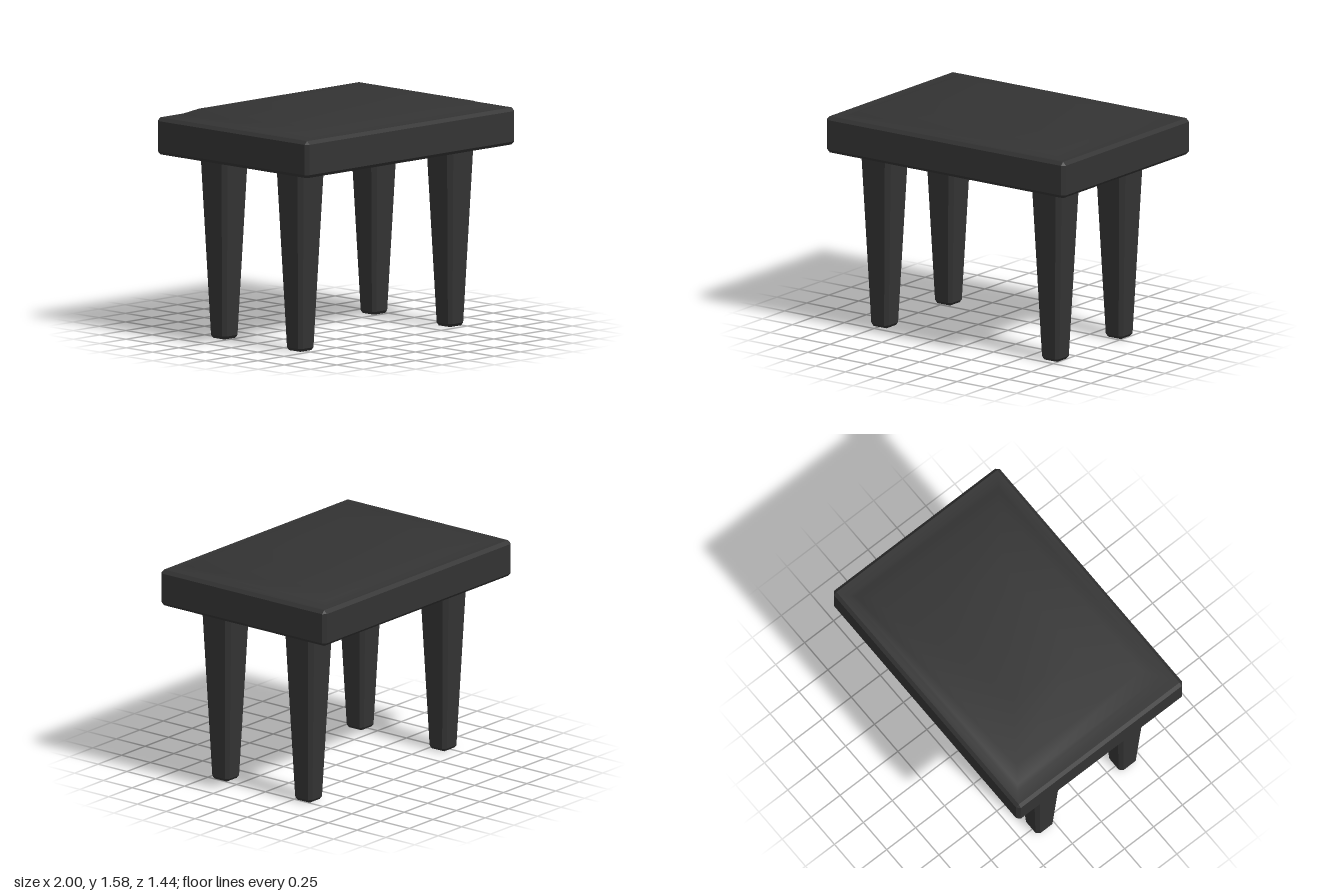
import * as THREE from 'three';
import { mergeVertices } from 'three/addons/utils/BufferGeometryUtils.js';

// Rectangle outline with cut corners, counter-clockwise from above
function ring([hx, y, hz, cut = 0]) {
  const points = [];
  for (const [sx, sz] of [[1, 1], [1, -1], [-1, -1], [-1, 1]]) {
    const pair = [[sx * (hx - cut), y, sz * hz], [sx * hx, y, sz * (hz - cut)]];
    points.push(...(sx === sz ? pair : pair.reverse()));
  }
  return points;
}

// Skin a stack of rings given from bottom to top as [halfX, y, halfZ, cornerCut]
function loft(sections, { bottom = true, top = true, smooth = false } = {}) {
  const rings = sections.map(ring);
  const positions = [];
  const tri = (a, b, c) => {
    const same = (p, q) => p.every((v, i) => v === q[i]);
    if (!same(a, b) && !same(b, c) && !same(a, c)) positions.push(...a, ...b, ...c);
  };
  for (let r = 0; r < rings.length - 1; r++) {
    const lo = rings[r], hi = rings[r + 1];
    for (let i = 0; i < 8; i++) {
      const j = (i + 1) % 8;
      tri(lo[i], lo[j], hi[j]);
      tri(lo[i], hi[j], hi[i]);
    }
  }
  const first = rings[0], last = rings[rings.length - 1];
  for (let i = 1; i < 7; i++) {
    if (top) tri(last[0], last[i], last[i + 1]);
    if (bottom) tri(first[0], first[i + 1], first[i]);
  }
  let geometry = new THREE.BufferGeometry();
  geometry.setAttribute('position', new THREE.Float32BufferAttribute(positions, 3));
  if (smooth) geometry = mergeVertices(geometry);
  geometry.computeVertexNormals();
  return geometry;
}

export function createModel() {
  const group = new THREE.Group();
  const black = new THREE.MeshStandardMaterial({ color: 0x333333 });
  black.name = 'black';

  const add = (name, geometry, x = 0, z = 0) => {
    const mesh = new THREE.Mesh(geometry, black);
    mesh.name = name;
    mesh.position.set(x, 0, z);
    group.add(mesh);
  };

  // Chamfered seat slab, closed on top by the cushion
  add('seatFrame', loft([
    [0.977, 1.235, 0.695, 0],
    [1, 1.258, 0.718, 0.023],
    [1, 1.465, 0.718, 0.023],
    [0.977, 1.488, 0.695, 0],
  ], { top: false }));

  // Softly domed cushion
  add('cushion', loft([
    [0.977, 1.488, 0.695],
    [0.9, 1.49, 0.645],
    [0.865, 1.504, 0.615],
    [0.765, 1.54, 0.54],
    [0.4, 1.58, 0.275],
  ], { bottom: false, smooth: true }));

  // Four tapered legs with chamfered edges
  const leg = loft([
    [0.053, 0, 0.053, 0],
    [0.073, 0.022, 0.075, 0.022],
    [0.126, 1.245, 0.128, 0.03],
  ]);
  for (const [side, x] of [['Right', -0.74], ['Left', 0.69]]) {
    for (const [end, z] of [['front', 0.395], ['back', -0.325]]) {
      add(`${end}${side}Leg`, leg, x, z);
    }
  }
  return group;
}
